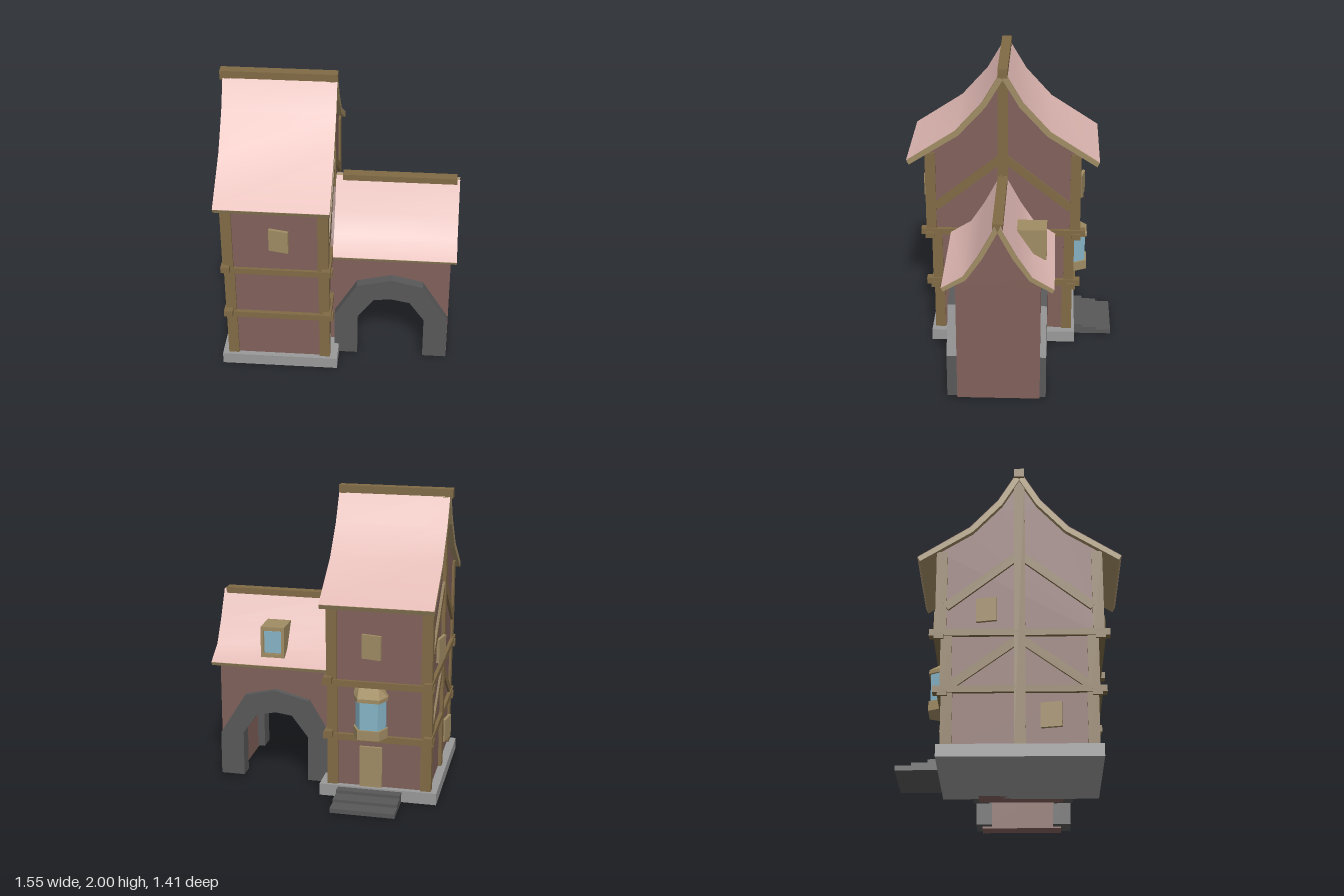
import * as THREE from 'three';

const mat = (color) => new THREE.MeshStandardMaterial({ color, flatShading: true, side: THREE.DoubleSide });
const WALL = mat(0x80605a), BEAM = mat(0x806a45), TAN = mat(0xa08c64);
const STONE = mat(0x999999), DARK = mat(0x585858), GLASS = mat(0x86b4c6);
const ROOF = new THREE.MeshStandardMaterial({ color: 0xdfb7b2, side: THREE.DoubleSide });
const CZ = 0.055; // ridge line of both roofs

export function createModel() {
  const root = new THREE.Group();

  const add = (name, geo, material) => {
    const m = new THREE.Mesh(geo, material);
    m.name = name;
    root.add(m);
    return m;
  };
  // box given by its extents
  const box = (name, x0, x1, y0, y1, z0, z1, material) => {
    const m = add(name, new THREE.BoxGeometry(x1 - x0, y1 - y0, z1 - z0), material);
    m.position.set((x0 + x1) / 2, (y0 + y1) / 2, (z0 + z1) / 2);
    return m;
  };
  const shapeOf = (pts) => new THREE.Shape(pts.map(([a, b]) => new THREE.Vector2(a, b)));
  const extrude = (shape, depth) => new THREE.ExtrudeGeometry(shape, { depth, bevelEnabled: false });
  // (z, y) outline swept from x0 to x1
  const alongX = (name, pts, x0, x1, material) =>
    add(name, extrude(shapeOf(pts), x1 - x0).rotateY(-Math.PI / 2).translate(x1, 0, 0), material);
  // mirror a half profile of (offset from ridge, y) into a full (z, y) outline
  const mirrored = (half) => [
    ...half.map(([d, y]) => [CZ - d, y]),
    ...half.slice().reverse().map(([d, y]) => [CZ + d, y]),
  ];

  // flared roof: timber slab with a smooth pink covering on each slope
  function roof(name, half, drop, x0, x1) {
    for (const s of [-1, 1]) {
      const top = half.map(([d, y]) => [CZ + s * d, y]);
      const under = half.map(([d, y], i) => [CZ + s * Math.max(0, d - drop[i][0]), y - drop[i][1]]);
      alongX(name + 'Boards', [...top, ...under.reverse()], x0, x1, TAN);
      const g = new THREE.PlaneGeometry(1, 1, 1, half.length - 1);
      const p = g.attributes.position;
      for (let i = 0; i < p.count; i++) {
        const [d, y] = half[Math.floor(i / 2)];
        const k = s > 0 ? i % 2 : 1 - (i % 2);
        p.setXYZ(i, k ? x1 : x0, y + 0.003, CZ + s * (d + 0.002));
      }
      g.computeVertexNormals();
      add(name + 'Covering', g, ROOF);
    }
  }

  // ---- Tower ----
  box('foundation', -0.78, 0, 0, 0.08, -0.445, 0.555, STONE);
  const storeys = [
    { y0: 0.08, y1: 0.43, h: 0.478 },
    { y0: 0.43, y1: 0.81, h: 0.487 },
    { y0: 0.81, y1: 1.4, h: 0.525 },
  ];
  storeys.forEach(({ y0, y1, h }, i) => {
    if (i < 2) box('storeyWall', -0.725, -0.065, y0, y1, CZ - h + 0.015, CZ + h - 0.015, WALL);
    for (const x of [-0.74, -0.12]) for (const s of [-1, 1]) {
      const z = CZ + s * (h - 0.035);
      box('cornerPost', x, x + 0.07, y0, y1, z - 0.035, z + 0.035, BEAM);
    }
  });
  alongX('gableWall', mirrored([[0.51, 0.81], [0.51, 1.41], [0.315, 1.53], [0.135, 1.72], [0.02, 1.93]]),
    -0.725, -0.065, WALL);

  // crossing floor beams with protruding ends
  for (const [y, h] of [[0.405, 0.47], [0.785, 0.5]]) {
    for (const s of [-1, 1])
      box('floorBeam', -0.755, -0.025, y, y + 0.042, CZ + s * h - 0.03, CZ + s * h + 0.03, BEAM);
    for (const x of [-0.72, -0.065])
      box('floorBeam', x - 0.028, x + 0.028, y + 0.022, y + 0.065, CZ - h - 0.06, CZ + h + 0.06, BEAM);
  }

  // timber framing on the gable sides: centre posts and diagonal braces
  const brace = (x, d0, y0, d1, y1) => {
    for (const s of [-1, 1]) {
      const dz = s * (d1 - d0), dy = y1 - y0;
      const m = add('brace', new THREE.BoxGeometry(0.025, 0.055, Math.hypot(dz, dy)), BEAM);
      m.position.set(x, (y0 + y1) / 2, CZ + s * (d0 + d1) / 2);
      m.rotation.x = -Math.atan2(dy, dz);
    }
  };
  for (const x of [-0.73, -0.06]) {
    box('centrePost', x - 0.018, x + 0.018, 0.08, 1.95, CZ - 0.035, CZ + 0.035, BEAM);
    brace(x, 0.0, 1.38, 0.46, 1.01);
  }
  brace(-0.727, 0.03, 0.77, 0.42, 0.48);

  roof('towerRoof', [[0.015, 1.975], [0.135, 1.77], [0.315, 1.57], [0.645, 1.355]],
    [[0.02, 0.05], [0.025, 0.03], [0.02, 0.032], [0.015, 0.03]], -0.76, -0.03);
  box('towerRidgeBeam', -0.778, -0.028, 1.94, 2, CZ - 0.033, CZ + 0.033, BEAM);

  // shutters standing slightly ajar; turn is the direction they face
  const shutter = (x, y, z, turn) => {
    const m = add('shutter', new THREE.BoxGeometry(0.13, 0.16, 0.02), TAN);
    m.position.set(x, y, z);
    m.rotation.y = turn - 0.2;
  };
  shutter(-0.367, 1.065, 0.592, 0);
  shutter(-0.35, 1.065, -0.482, Math.PI);
  shutter(-0.75, 0.98, -0.15, -Math.PI / 2);
  shutter(-0.75, 0.275, 0.245, -Math.PI / 2);

  // ---- Back entrance ----
  box('door', -0.415, -0.265, 0.08, 0.36, -0.425, -0.40, TAN);
  [[0.07, -0.505], [0.05, -0.605], [0.03, -0.705]].forEach(([y, z], i) =>
    box('step', -0.55, -0.125, 0, y, z, i ? z + 0.1 : -0.44, DARK));

  // bay window: tapered plan, sill, glass, cap and sloping hood
  const bay = (name, y0, y1, grow, material) => {
    const w = 0.1 + grow, n = 0.06 + grow, f = 0.512 + grow;
    const g = extrude(shapeOf([[-w, 0.40], [w, 0.40], [w, 0.44], [n, f], [-n, f], [-w, 0.44]]), y1 - y0);
    return add(name, g.rotateX(-Math.PI / 2).translate(-0.34, y0, 0), material);
  };
  bay('baySill', 0.445, 0.51, 0.012, TAN);
  bay('bayGlass', 0.51, 0.7, 0, GLASS);
  bay('bayCap', 0.7, 0.725, 0.012, TAN);
  const hood = bay('bayHood', 0.725, 0.78, 0.012, TAN).geometry.attributes.position;
  for (let i = 0; i < hood.count; i++)
    if (hood.getY(i) > 0.77 && hood.getZ(i) < -0.41) {
      hood.setZ(i, -0.435);
      hood.setX(i, -0.34 + (hood.getX(i) + 0.34) * 0.7);
    }

  // ---- Archway wing ----
  const passage = [[0.07, 0], [0.07, 0.33], [0.19, 0.51], [0.345, 0.545], [0.51, 0.51], [0.625, 0.32], [0.625, 0]];
  const wing = shapeOf([[-0.06, 0], ...passage, [0.738, 0], [0.738, 0.83], [-0.06, 0.83]]);
  add('archwayWall', extrude(wing, 0.54).translate(0, 0, CZ - 0.27), WALL);
  alongX('wingGable', mirrored([[0.27, 0.82], [0.27, 0.85], [0.22, 0.88], [0.11, 1.03], [0.02, 1.2]]),
    -0.06, 0.738, WALL);

  const ring = shapeOf([
    [-0.03, 0.012], [-0.03, 0.33], [0.12, 0.582], [0.35, 0.64], [0.56, 0.592], [0.735, 0.31], [0.735, 0.012],
    [0.575, 0.012], [0.575, 0.32], [0.475, 0.46], [0.345, 0.485], [0.235, 0.47], [0.125, 0.325], [0.125, 0.012],
  ]);
  for (const [z0, z1] of [[0.27, 0.39], [-0.255, -0.15]])
    add('stoneArch', extrude(ring, z1 - z0).translate(0, 0, z0), DARK);

  roof('wingRoof', [[0.015, 1.25], [0.12, 1.055], [0.215, 0.91], [0.355, 0.825]],
    [[0.02, 0.035], [0.025, 0.02], [0.015, 0.025], [0.01, 0.022]], -0.04, 0.775);
  box('wingRidgeBeam', 0.005, 0.757, 1.22, 1.265, CZ - 0.033, CZ + 0.033, BEAM);

  // dormer on the back slope
  box('dormer', 0.285, 0.445, 0.87, 1.08, -0.235, -0.03, TAN);
  box('dormerGlass', 0.308, 0.422, 0.9, 1.05, -0.24, -0.2, GLASS);
  for (const x of [0.285, 0.425]) box('dormerFrame', x, x + 0.02, 0.87, 1.08, -0.248, -0.22, TAN);
  for (const y of [0.87, 1.058]) box('dormerFrame', 0.285, 0.445, y, y + 0.022, -0.248, -0.22, TAN);

  return root;
}
